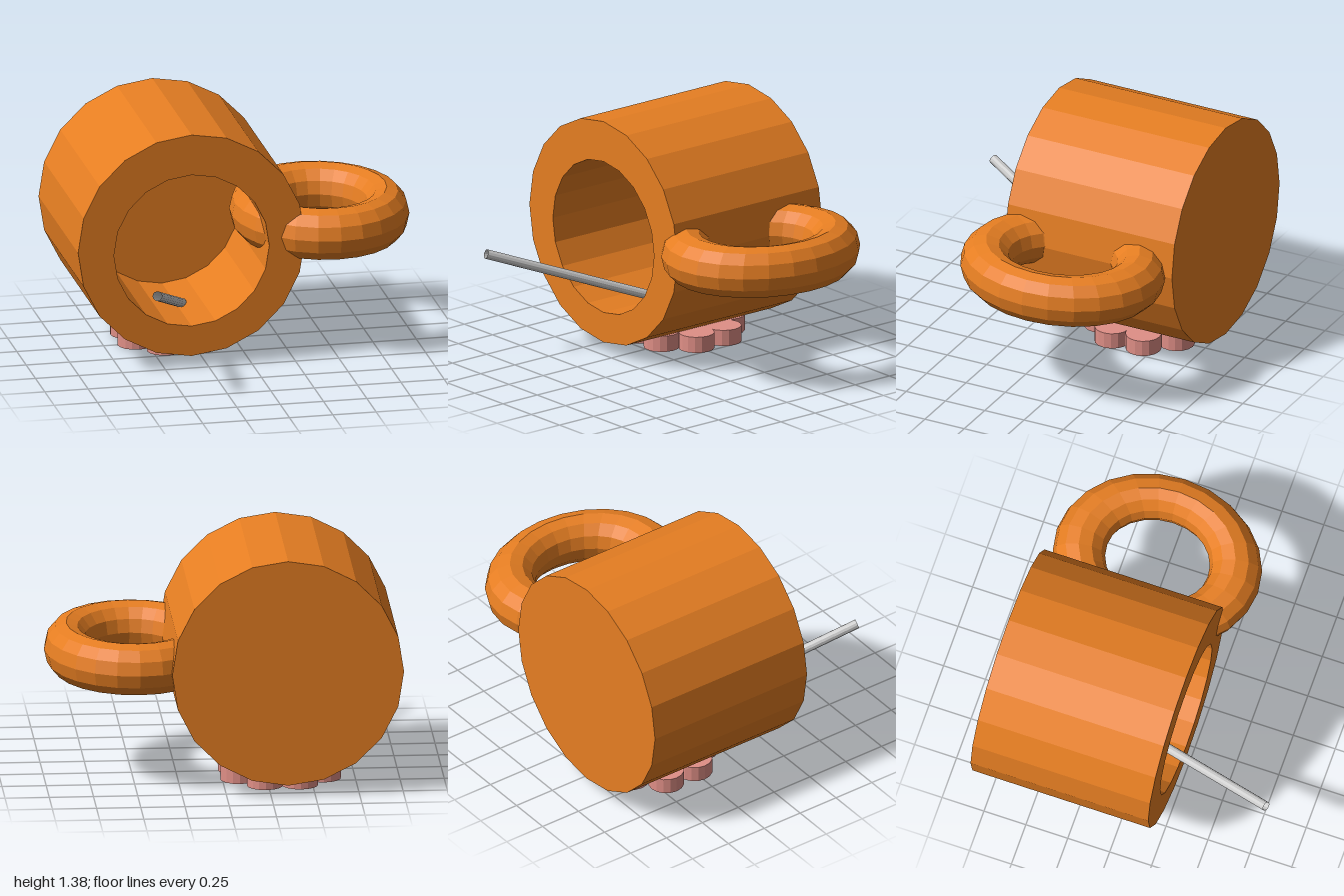
import * as THREE from 'three';

const material = (color) => new THREE.MeshStandardMaterial({ color, flatShading: true, side: THREE.DoubleSide });

function addMesh(parent, name, geometry, mat) {
  const mesh = new THREE.Mesh(geometry, mat);
  mesh.name = name;
  parent.add(mesh);
  return mesh;
}

// Open tube between two points
function tubeBetween(start, end, radius) {
  const direction = end.clone().sub(start);
  const geometry = new THREE.CylinderGeometry(radius, radius, direction.length(), 12, 1, true);
  geometry.applyQuaternion(new THREE.Quaternion().setFromUnitVectors(
    new THREE.Vector3(0, 1, 0), direction.clone().normalize()));
  const middle = start.clone().add(end).multiplyScalar(0.5);
  return geometry.translate(middle.x, middle.y, middle.z);
}

export function createModel() {
  const model = new THREE.Group();
  model.name = 'mug';
  const orange = material(0xe67e22);
  const pink = material(0xe08f87);
  const grey = material(0xcccccc);

  // Mug lying on its side: outer wall, rim, cavity and cavity floor in one profile
  const outer = 0.655, inner = 0.448, back = -0.83, front = 0.23, floor = -0.57;
  const profile = [
    [0, back], [outer, back], [outer, front], [inner, front], [inner, floor], [0, floor],
  ].map(([r, z]) => new THREE.Vector2(r, z));
  const bodyGeometry = new THREE.LatheGeometry(profile, 20).rotateX(Math.PI / 2);
  // The cavity sits slightly below the outer axis
  const p = bodyGeometry.attributes.position;
  for (let i = 0; i < p.count; i++) {
    if (i % profile.length >= 3) p.setY(i, p.getY(i) - 0.03);
  }
  addMesh(model, 'body', bodyGeometry.toNonIndexed(), orange).position.set(-0.345, 0.72, 0);

  // Ring handle, narrowed sideways and reaching through the wall
  const handle = addMesh(model, 'handle',
    new THREE.TorusGeometry(0.45, 0.15, 12, 24).rotateX(Math.PI / 2).scale(0.84, 1, 1), orange);
  handle.position.set(0.49, 0.725, -0.23);
  handle.rotation.x = -0.012;

  // Straw leaning out of the cavity
  addMesh(model, 'straw', tubeBetween(
    new THREE.Vector3(-0.67, 0.63, 0.82), new THREE.Vector3(-0.29, 0.22, -0.25), 0.027), grey);

  // Flower-shaped foot: eight petals around a centre disc
  const foot = new THREE.Group();
  foot.name = 'flowerFoot';
  foot.position.set(-0.33, 0.0465, -0.34);
  model.add(foot);
  const height = 0.093;
  for (let i = 0; i < 8; i++) {
    const angle = (i + 0.5) * Math.PI / 4;
    const petal = addMesh(foot, 'petal', new THREE.CylinderGeometry(0.102, 0.102, height, 16), pink);
    petal.position.set(0.258 * Math.cos(angle), 0, 0.258 * Math.sin(angle));
  }
  addMesh(foot, 'flowerCentre', new THREE.CylinderGeometry(0.22, 0.22, height - 0.002, 16), pink);

  return model;
}
